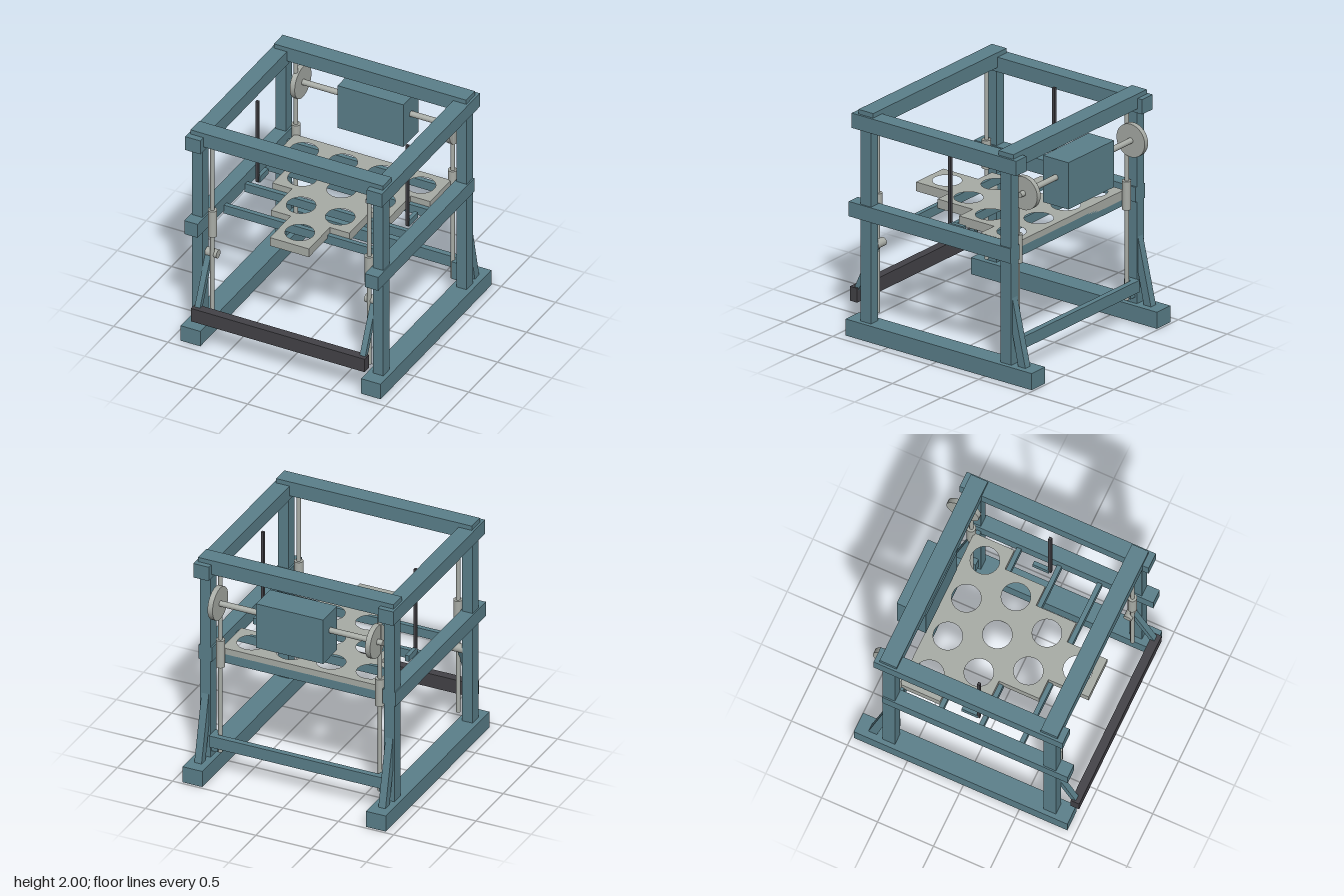
import * as THREE from 'three';

const mat = (name, color) => {
  const m = new THREE.MeshStandardMaterial({ color });
  m.name = name;
  return m;
};

export function createModel() {
  const teal = mat('teal frame', 0x5b808b);
  const grey = mat('light grey metal', 0xa8aca6);
  const dark = mat('charcoal', 0x434247);
  const model = new THREE.Group();

  const add = (name, geometry, material) => {
    const mesh = new THREE.Mesh(geometry, material);
    mesh.name = name;
    model.add(mesh);
    return mesh;
  };
  // Box given by its limits on each axis
  const box = (name, [x0, x1], [y0, y1], [z0, z1], material = teal) =>
    add(name, new THREE.BoxGeometry(x1 - x0, y1 - y0, z1 - z0), material)
      .position.set((x0 + x1) / 2, (y0 + y1) / 2, (z0 + z1) / 2);
  // Box mirrored to either side: a and b are distances from the middle
  const side = (s, a, b) => (s > 0 ? [a, b] : [-b, -a]);
  const upright = (name, x, y0, y1, z, r) =>
    add(name, new THREE.CylinderGeometry(r, r, y1 - y0, 24), grey).position.set(x, (y0 + y1) / 2, z);
  const axle = (name, x0, x1, y, z, r) => {
    const m = add(name, new THREE.CylinderGeometry(r, r, x1 - x0, 32), grey);
    m.rotation.z = Math.PI / 2;
    m.position.set((x0 + x1) / 2, y, z);
  };

  for (const s of [1, -1]) {
    // Side frame: skid, posts and rails
    box('baseSkid', side(s, 0.74, 0.92), [0, 0.145], [-0.98, 0.93]);
    box('frontPost', side(s, 0.785, 0.88), [0.14, 1.9], [0.70, 0.81]);
    box('rearPost', side(s, 0.785, 0.88), [0.14, 1.9], [-0.74, -0.63]);
    box('middleSideRail', side(s, 0.77, 0.892), [1.04, 1.17], [-0.74, 0.92]);
    box('topSideRail', side(s, 0.765, 0.905), [1.83, 1.96], [-0.81, 0.88]);

    // Slanted brace behind the rear post, drawn in (-z, y)
    const brace = new THREE.Shape([[0.735, 0.75], [0.735, 0.45], [0.80, 0.14], [0.875, 0.14]]
      .map(([a, b]) => new THREE.Vector2(a, b)));
    const braceGeo = new THREE.ExtrudeGeometry(brace, { depth: 0.065, bevelEnabled: false });
    braceGeo.rotateY(Math.PI / 2);
    add('rearBrace', braceGeo, teal).position.x = s * 0.8325 - 0.0325;

    // Guide rods with sleeves, front and rear
    for (const z of [0.755, -0.685]) {
      upright('guideRod', s * 0.722, 0.185, 1.88, z, 0.018);
      upright('guideSleeve', s * 0.72, 0.985, 1.235, z, 0.038);
    }
    box('rearRodBracket', side(s, 0.73, 0.785), [0.195, 0.36], [-0.72, -0.65]);

    // Treadle pivot and arm
    axle('treadlePivot', ...side(s, 0.68, 0.79), 0.80, 0.73, 0.037);
    const arm = add('treadleArm', new THREE.BoxGeometry(0.05, 0.55, 0.045), teal);
    arm.position.set(s * 0.76, 0.555, 0.84);
    arm.rotation.x = -Math.atan2(0.22, 0.49);

    // Hand lever and its upright bar
    box('lever', side(s, 0.67, 0.705), [1.09, 1.145], [-0.115, 0.03]);
    box('leverBar', side(s, 0.678, 0.703), [1.1, 1.88], [0.022, 0.047], dark);

    // Drive wheel
    axle('driveWheel', ...side(s, 0.69, 0.735), 1.61, -0.75, 0.145);
  }

  // Cross members
  box('topFrontBeam', [-0.885, 0.885], [1.87, 2], [0.675, 0.825]);
  box('topRearBeam', [-0.885, 0.885], [1.87, 2], [-0.765, -0.613]);
  box('lowerRearRail', [-0.785, 0.785], [0.255, 0.36], [-0.77, -0.72]);
  box('treadleBar', [-0.80, 0.80], [0.255, 0.38], [0.905, 0.98], dark);
  for (let i = 0; i < 4; i++) {
    const z = -0.64 + 0.36 * i;
    box('tableSlat', [-0.775, 0.775], [1.01, 1.09], [z - 0.02, z + 0.02]);
  }

  // Drive box and shaft
  box('driveBox', [-0.303, 0.303], [1.36, 1.77], [-0.88, -0.62]);
  axle('driveShaft', -0.785, 0.785, 1.61, -0.75, 0.025);

  // Stepped plate: rows of four, three, two and one holes, drawn in (x, -z)
  const right = [], left = [], holes = [];
  for (let row = 0; row < 4; row++) {
    const count = 4 - row, half = count * 0.18, z = -0.66 + row * 0.36;
    for (const edge of [z, z + 0.36]) {
      right.push(new THREE.Vector2(half, -edge));
      left.unshift(new THREE.Vector2(-half, -edge));
    }
    for (let i = 0; i < count; i++) {
      const hole = new THREE.Path();
      hole.absarc((i - (count - 1) / 2) * 0.36, -(z + 0.18), 0.12, 0, Math.PI * 2, true);
      holes.push(hole);
    }
  }
  const outline = new THREE.Shape([...right, ...left]);
  outline.holes = holes;
  const plateGeo = new THREE.ExtrudeGeometry(outline, { depth: 0.08, bevelEnabled: false, curveSegments: 32 });
  plateGeo.rotateX(-Math.PI / 2);
  add('holePlate', plateGeo, grey).position.y = 1.065;

  return model;
}
